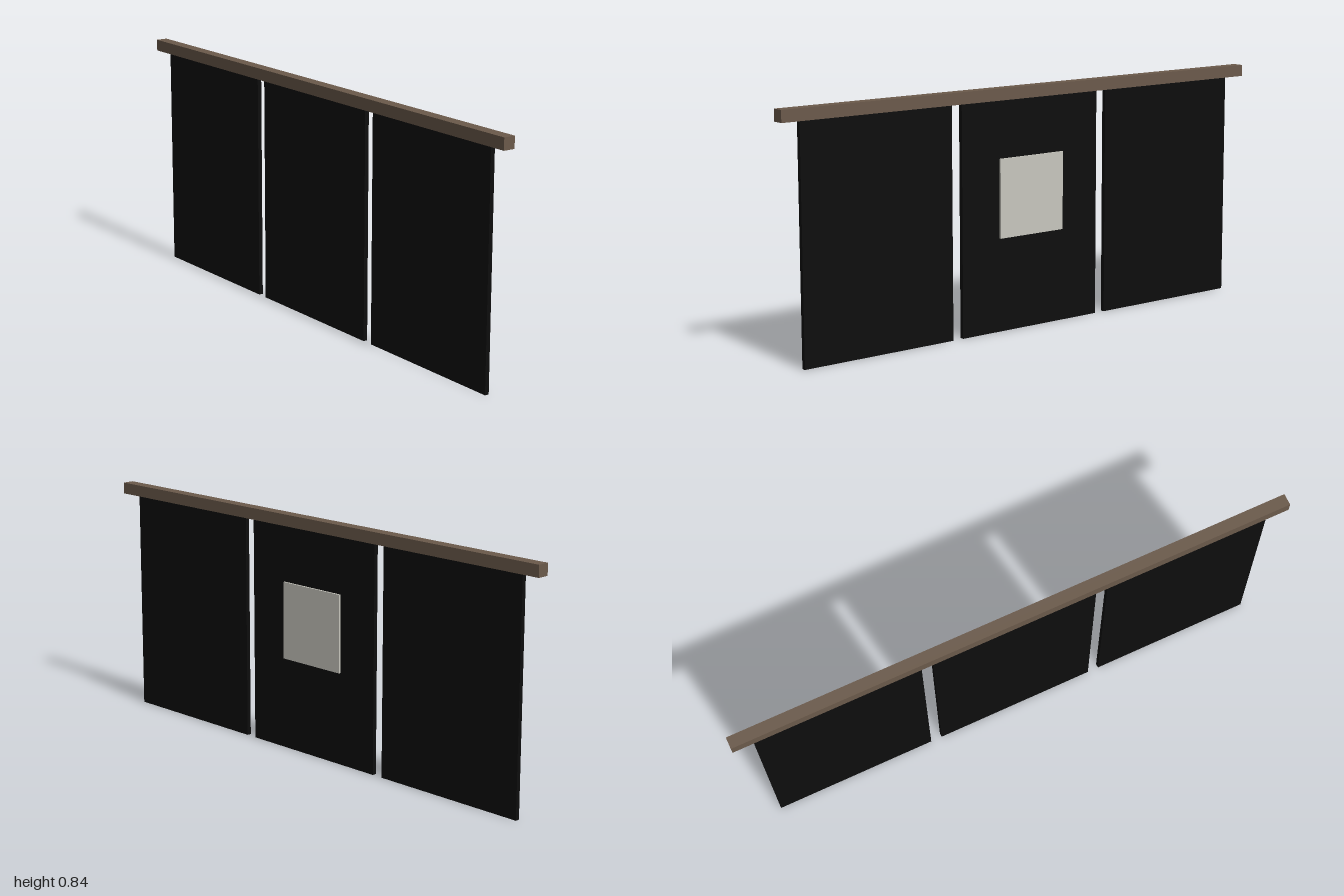
import * as THREE from 'three';

const material = (name, color) => {
  const m = new THREE.MeshStandardMaterial({ color });
  m.name = name;
  return m;
};

export function createModel() {
  const group = new THREE.Group();
  group.name = 'hangingPanels';

  const wood = material('brown wood', 0x6b5a4b);
  const cloth = material('black cloth', 0x0d0d0d);
  const paper = material('pale grey', 0xc8c7be);

  // Adds a box spanning y0..y1 and z0..z1, centred on x
  const addBox = (name, mat, x, width, y0, y1, z0, z1) => {
    const mesh = new THREE.Mesh(new THREE.BoxGeometry(width, y1 - y0, z1 - z0), mat);
    mesh.position.set(x, (y0 + y1) / 2, (z0 + z1) / 2);
    mesh.name = name;
    group.add(mesh);
  };

  // Top rail
  addBox('rail', wood, 0, 2, 0.802, 0.843, -0.021, 0.021);

  // Three panels hanging from the rail
  ['rightPanel', 'middlePanel', 'leftPanel'].forEach((name, i) => {
    addBox(name, cloth, (i - 1) * 0.631, 0.59, 0, 0.802, -0.0075, 0.0075);
  });

  // Square plate on the back of the middle panel
  addBox('backPlate', paper, 0, 0.274, 0.327, 0.602, -0.0145, -0.0075);

  return group;
}
